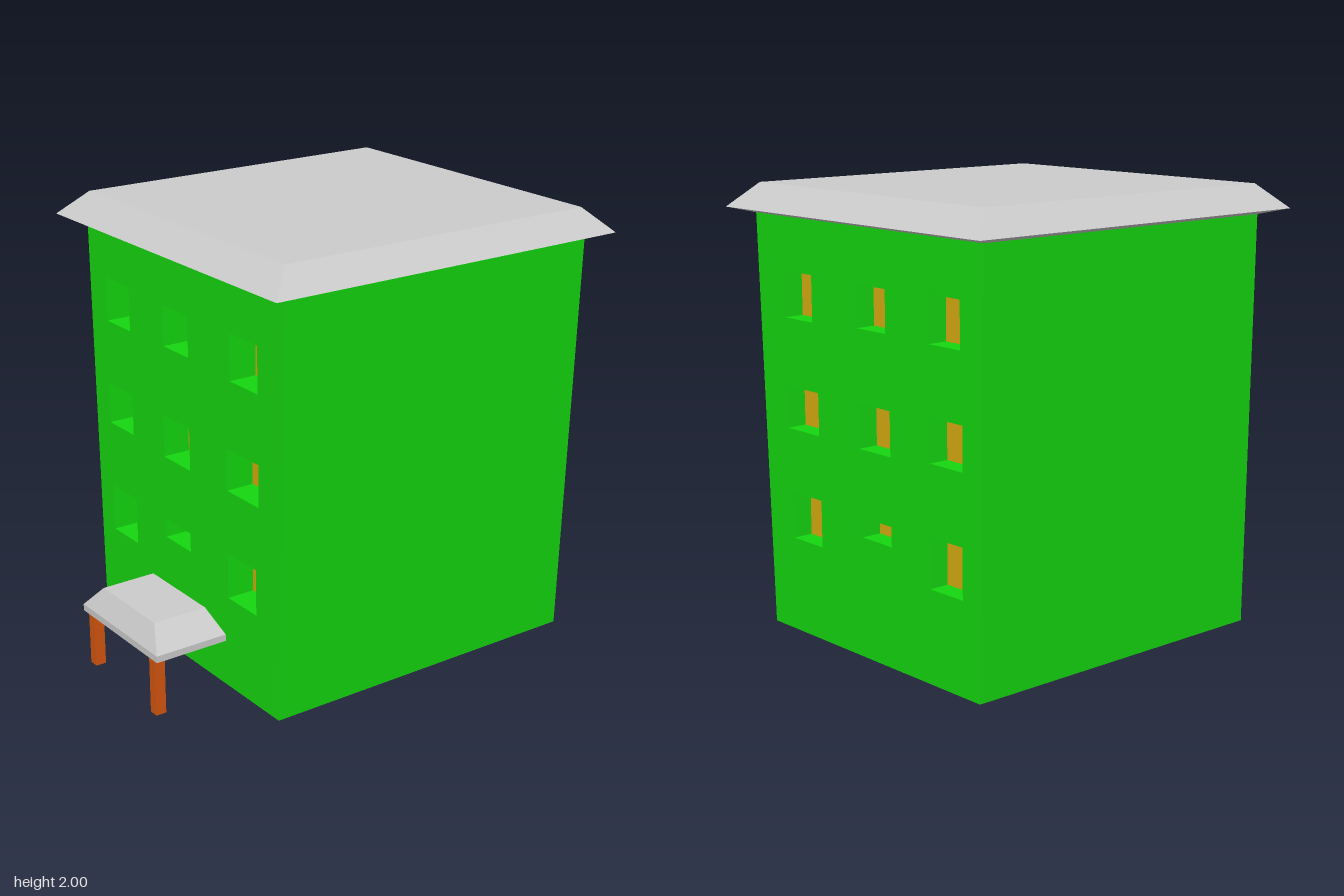
import * as THREE from 'three';

const mat = (color) => new THREE.MeshStandardMaterial({ color, flatShading: true });
const GREY = mat(0xcccccc), GREEN = mat(0x14d60f), GOLD = mat(0xd6aa10), ORANGE = mat(0xd2560e);

// Skins a list of four-cornered rings, optionally closing both ends.
function loft(name, rings, material, capped = true) {
  const pos = [];
  const quad = (a, b, c, d) => pos.push(...a, ...b, ...c, ...a, ...c, ...d);
  for (let i = 0; i < rings.length - 1; i++) {
    const a = rings[i], b = rings[i + 1];
    for (let j = 0; j < 4; j++) {
      const k = (j + 1) % 4;
      quad(a[j], a[k], b[k], b[j]);
    }
  }
  if (capped) {
    quad(...[...rings[0]].reverse());
    quad(...rings[rings.length - 1]);
  }
  const g = new THREE.BufferGeometry();
  g.setAttribute('position', new THREE.Float32BufferAttribute(pos, 3));
  g.computeVertexNormals();
  const mesh = new THREE.Mesh(g, material);
  mesh.name = name;
  return mesh;
}

// Horizontal rectangle at height y, used for roofs.
const level = (y, x0, x1, z0, z1) => [[x0, y, z1], [x1, y, z1], [x1, y, z0], [x0, y, z0]];

// Wall outline in (z, y): slightly wider at the top.
const OUTLINE = [[0.68, 0.06], [-0.705, 0.06], [-0.74, 1.87], [0.745, 1.87]];
const X0 = -0.645, X1 = 0.885;

// Windows as [z back, z front, y bottom, y top].
const WINDOWS = [
  [0.355, 0.55, 1.44, 1.64], [-0.14, 0.05, 1.455, 1.635], [-0.6, -0.41, 1.45, 1.645],
  [0.325, 0.55, 0.96, 1.145], [-0.16, 0.045, 0.955, 1.145], [-0.61, -0.41, 0.975, 1.16],
  [0.32, 0.525, 0.475, 0.68], [-0.16, 0.035, 0.58, 0.665], [-0.605, -0.405, 0.46, 0.675],
];

// Side wall with recessed windows; s = +1 for the left, -1 for the right.
function windowWall(name, s, x, depth) {
  const group = new THREE.Group();
  group.name = name;
  const toVec = ([z, y]) => new THREE.Vector2(-s * z, y);
  const shape = new THREE.Shape(OUTLINE.map(toVec));
  const inner = x - s * depth;

  for (const [z0, z1, y0, y1] of WINDOWS) {
    const corners = [[z1, y0], [z1, y1], [z0, y1], [z0, y0]];
    shape.holes.push(new THREE.Path(corners.map(toVec)));
    // Reveal around the opening, facing inward
    const ring = (px) => corners.map(([z, y]) => [px, y, z]);
    group.add(loft('windowReveal', [ring(Math.min(x, inner)), ring(Math.max(x, inner))], GREEN, false));
    // Pane at the back of the recess
    const pane = new THREE.Mesh(new THREE.PlaneGeometry(z1 - z0, y1 - y0), GOLD);
    pane.name = 'windowPane';
    pane.position.set(inner, (y0 + y1) / 2, (z0 + z1) / 2);
    pane.rotation.y = s * Math.PI / 2;
    group.add(pane);
  }
  const wall = new THREE.Mesh(new THREE.ShapeGeometry(shape), GREEN);
  wall.name = 'wallFace';
  wall.rotation.y = s * Math.PI / 2;
  wall.position.x = x;
  group.add(wall);
  return group;
}

export function createModel() {
  const model = new THREE.Group();
  model.name = 'building';

  // Front, back, floor and ceiling
  const section = (x) => OUTLINE.map(([z, y]) => [x, y, z]);
  model.add(loft('wallShell', [section(X0), section(X1)], GREEN, false));

  // Window walls on both sides
  model.add(windowWall('leftWall', 1, X1, 0.09));
  model.add(windowWall('rightWall', -1, X0, 0.125));

  // Main roof with sloping eaves
  model.add(loft('roof', [
    level(1.87, X0, X1, -0.74, 0.745),
    level(1.895, -0.745, 0.985, -0.835, 0.825),
    level(2.0, -0.635, 0.875, -0.73, 0.725),
  ], GREY));

  // Entrance canopy
  model.add(loft('canopy', [
    level(0.265, -0.985, X0, -0.31, 0.295),
    level(0.295, -0.985, X0, -0.31, 0.295),
    level(0.395, -0.935, -0.685, -0.215, 0.2),
  ], GREY));

  // Canopy posts with green feet
  for (const [z, bottom] of [[0.237, 0], [-0.262, 0.02]]) {
    const h = 0.265 - bottom;
    const post = new THREE.Mesh(new THREE.BoxGeometry(0.048, h, 0.045),
      [ORANGE, ORANGE, ORANGE, GREEN, ORANGE, ORANGE]);
    post.name = 'canopyPost';
    post.position.set(-0.95, bottom + h / 2, z);
    model.add(post);
  }
  return model;
}
